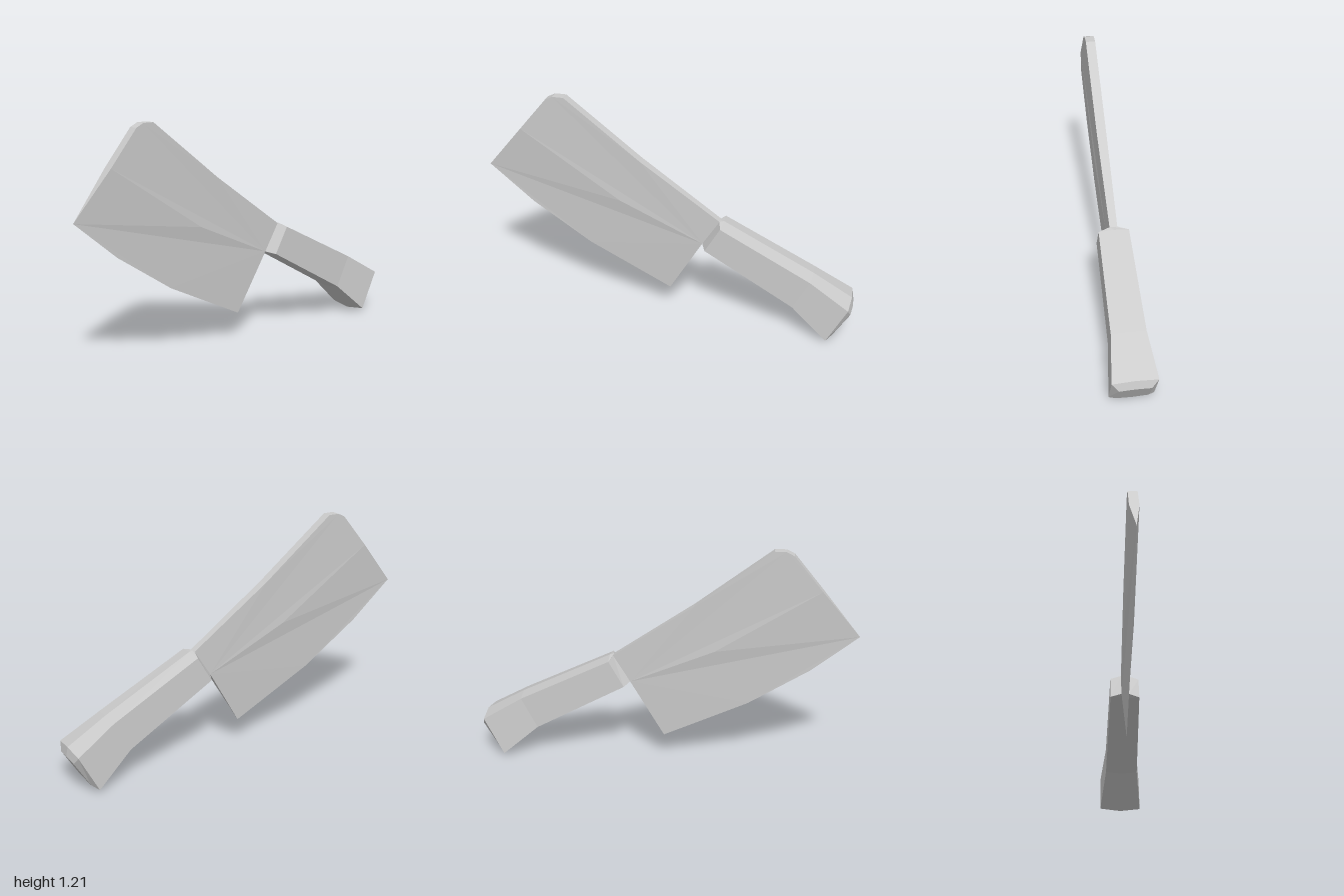
import * as THREE from 'three';

const steel = new THREE.MeshStandardMaterial({ color: 0xcccccc });
steel.name = 'grey';
steel.flatShading = true;

// Mesh from convex faces, each a counter-clockwise list of Vector3 corners
function facesMesh(name, faces) {
  const points = [];
  for (const f of faces)
    for (let i = 1; i < f.length - 1; i++) points.push(f[0], f[i], f[i + 1]);
  const geometry = new THREE.BufferGeometry().setFromPoints(points);
  geometry.computeVertexNormals();
  const mesh = new THREE.Mesh(geometry, steel);
  mesh.name = name;
  return mesh;
}

// Blade: points are [x, y, half thickness], tapering to a sharp cutting edge
function createBlade() {
  const edge = [[-1, 0.77, 0], [-0.76, 0.57, 0], [-0.44, 0.36, 0], [0.01, 0.14, 0]];
  const bevel = [[-0.8, 1.01, 0.025], [-0.26, 0.655, 0.025], [0.19, 0.455, 0.02]];
  const spine = [[0.28, 0.6, 0.02], [-0.15, 0.9, 0.025], [-0.55, 1.21, 0.025],
    [-0.61, 1.21, 0.025], [-0.65, 1.19, 0.025]];
  const at = ([x, y, t], side) => new THREE.Vector3(x, y, t * side);
  const faces = [];

  // Two panels on each cheek: ground bevel below, flat above
  for (const panel of [[...edge, ...[...bevel].reverse()], [...bevel, ...spine]]) {
    const flat = panel.map(([x, y]) => new THREE.Vector2(x, y));
    for (const tri of THREE.ShapeUtils.triangulateShape(flat, [])) {
      faces.push(tri.map((i) => at(panel[i], 1)));
      faces.push([...tri].reverse().map((i) => at(panel[i], -1)));
    }
  }

  // Narrow rim around heel, spine and nose
  const rim = [edge[3], bevel[2], ...spine, bevel[0], edge[0]];
  for (let i = 0; i < rim.length - 1; i++) {
    const a = rim[i], b = rim[i + 1];
    faces.push([at(a, 1), at(a, -1), at(b, -1), at(b, 1)]);
  }
  return facesMesh('blade', faces);
}

// Handle: six-sided sections with a ridge along the top and the bottom
function createHandle() {
  const sections = [
    // side top, side bottom, half width, ridge height
    [[0.28, 0.6], [0.19, 0.455], 0.02, 0],
    [[0.295, 0.587], [0.215, 0.447], 0.078, 0.012],
    [[0.78, 0.345], [0.695, 0.18], 0.088, 0.013],
    [[0.988, 0.222], [0.885, 0.018], 0.115, 0.017],
    [[1.0, 0.18], [0.917, 0.04], 0.08, 0.011],
  ];
  const rings = sections.map(([t, b, w, r]) => {
    const top = new THREE.Vector3(t[0], t[1], 0);
    const bottom = new THREE.Vector3(b[0], b[1], 0);
    const up = top.clone().sub(bottom).normalize();
    const out = new THREE.Vector3(0, 0, w);
    return [
      top.clone().add(out), top.clone().addScaledVector(up, r), top.clone().sub(out),
      bottom.clone().sub(out), bottom.clone().addScaledVector(up, -r), bottom.clone().add(out),
    ];
  });
  const faces = [rings[0], [...rings[rings.length - 1]].reverse()];
  for (let k = 0; k < rings.length - 1; k++) {
    const a = rings[k], b = rings[k + 1];
    for (let i = 0; i < 6; i++) {
      const j = (i + 1) % 6;
      faces.push([a[i], b[i], b[j], a[j]]);
    }
  }
  return facesMesh('handle', faces);
}

export function createModel() {
  const group = new THREE.Group();
  group.name = 'cleaver';
  group.add(createBlade(), createHandle());
  return group;
}
